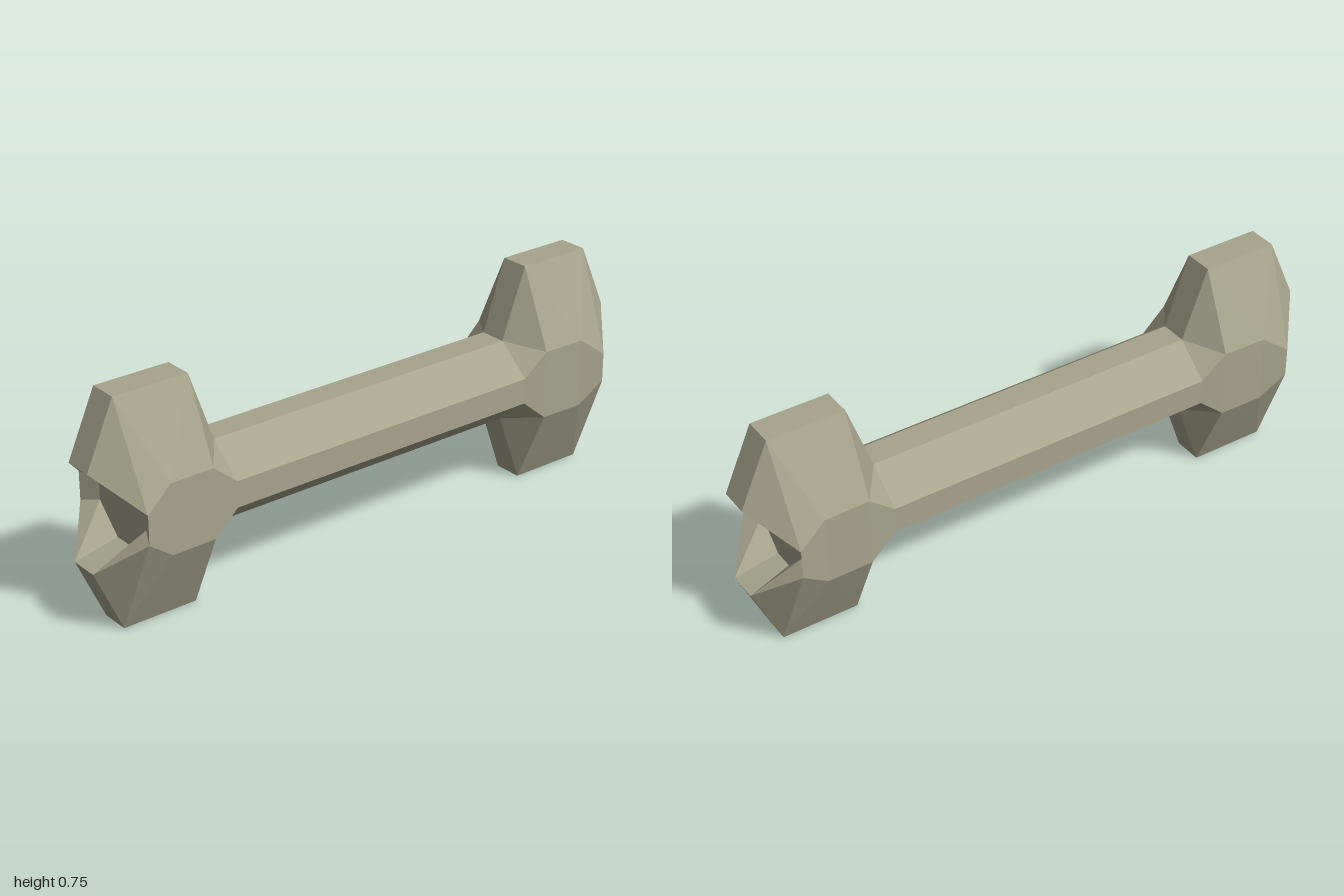
import * as THREE from 'three';

const MID_Y = 0.3725;

// Octagonal ring: top/bottom corners (tx, ty) at depth tz, side corners (sx, sy) at depth sz
function ring([tx, ty, tz, sx, sy, sz]) {
  return [
    [sx, -sy, sz], [sx, sy, sz], [tx, ty, tz], [-tx, ty, tz],
    [-sx, sy, sz], [-sx, -sy, sz], [-tx, -ty, tz], [tx, -ty, tz],
  ];
}

// Skin between consecutive rings, optionally closed with a flat face at the last ring
function loft(sections, capEnd) {
  const rings = sections.map(ring);
  const pos = [];
  const tri = (...pts) => pts.forEach((p) => pos.push(...p));
  for (let i = 0; i < rings.length - 1; i++) {
    for (let k = 0; k < 8; k++) {
      const n = (k + 1) % 8;
      const a = rings[i][k], b = rings[i][n], c = rings[i + 1][n], d = rings[i + 1][k];
      if (k % 4 >= 2) { tri(a, b, c); tri(a, c, d); }
      else { tri(a, b, d); tri(b, c, d); }
    }
  }
  if (capEnd) {
    const last = rings[rings.length - 1];
    for (let k = 1; k < 7; k++) tri(last[0], last[k], last[k + 1]);
  }
  const geo = new THREE.BufferGeometry();
  geo.setAttribute('position', new THREE.Float32BufferAttribute(pos, 3));
  geo.computeVertexNormals();
  return geo;
}

export function createModel() {
  const model = new THREE.Group();
  model.name = 'bone';
  const material = new THREE.MeshStandardMaterial({ color: 0xa6a48c, flatShading: true });

  const add = (name, geo, turn = 0) => {
    const mesh = new THREE.Mesh(geo, material);
    mesh.name = name;
    mesh.position.y = MID_Y;
    mesh.rotation.y = turn;
    model.add(mesh);
  };

  // Straight shaft
  add('shaft', loft([
    [0.045, 0.137, -0.565, 0.157, 0.043, -0.565],
    [0.045, 0.137, 0.565, 0.157, 0.043, 0.565],
  ], false));

  // Flared knuckle with a sunken socket, the same at both ends
  const knuckle = loft([
    [0.045, 0.137, 0.565, 0.157, 0.043, 0.565],
    [0.048, 0.3725, 0.65, 0.162, 0.115, 0.65],
    [0.048, 0.3725, 0.905, 0.165, 0.115, 0.8],
    [0.048, 0.16, 1.0, 0.18, 0.048, 0.89],
    [0.033, 0.12, 0.86, 0.12, 0.033, 0.86],
  ], true);
  add('frontKnuckle', knuckle);
  add('backKnuckle', knuckle, Math.PI);

  return model;
}
